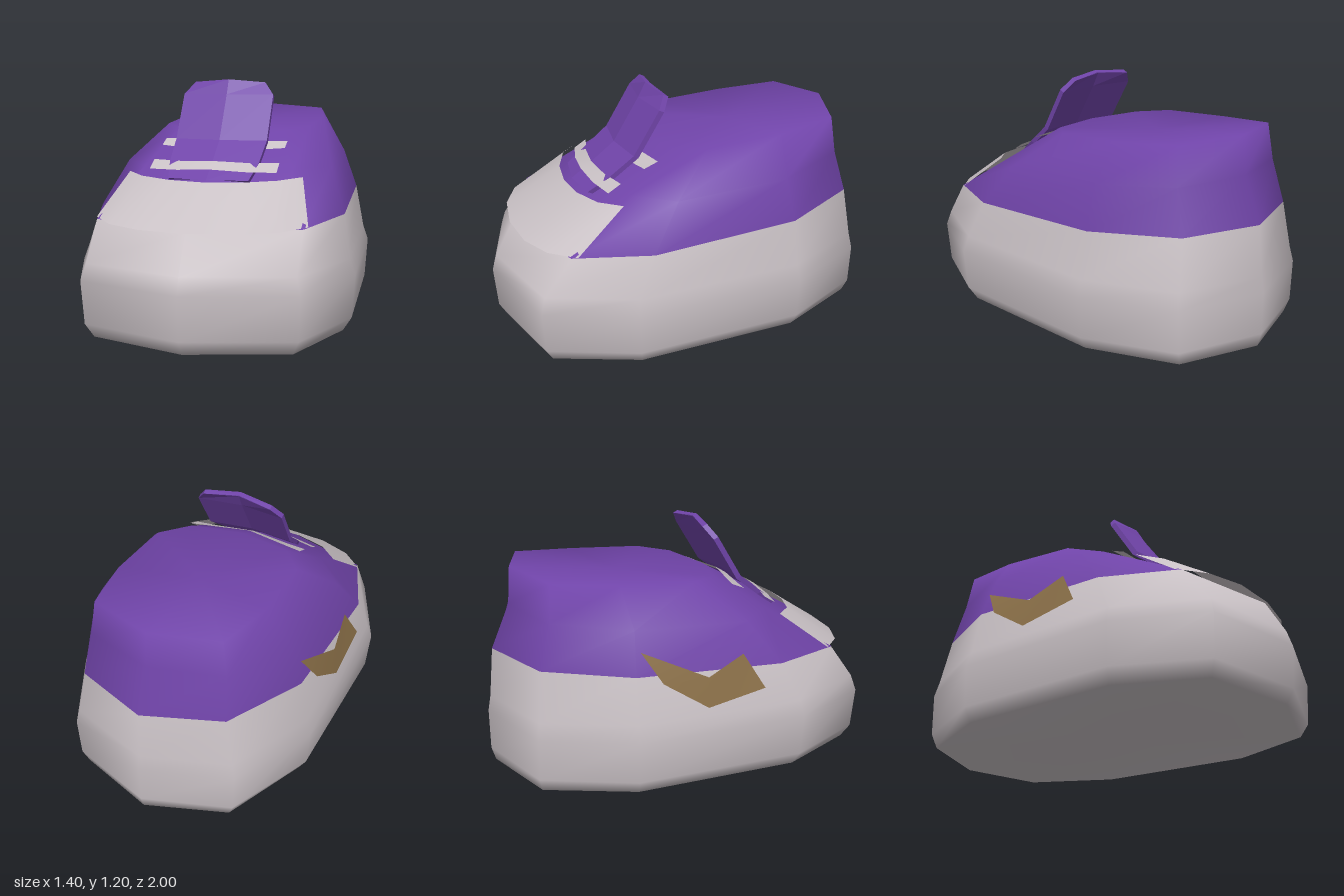
import * as THREE from 'three';

const purple = new THREE.MeshStandardMaterial({ color: 0x7044a9 });
purple.name = 'purple upper';
const grey = new THREE.MeshStandardMaterial({ color: 0xc9c1c5, side: THREE.DoubleSide });
grey.name = 'light grey rubber';
const brown = new THREE.MeshStandardMaterial({ color: 0x8b7048, side: THREE.DoubleSide });
brown.name = 'brown accent';

// Mirror half an outline (front centre to heel centre) into a full ring
function mirrorRing(half) {
  const back = half.slice(1, -1).reverse().map(([x, y, z]) => [-x, y, z]);
  return [...half, ...back];
}

// Closed loft through rings; `split` is the ring where the second material starts
function loft(rings, startCentre, endCentre, split = 0) {
  const n = rings[0].length;
  const positions = rings.flat();
  const start = positions.push(startCentre) - 1;
  const end = positions.push(endCentre) - 1;
  const index = [];
  for (let j = 0; j < n; j++) index.push(start, (j + 1) % n, j);
  let firstCount = index.length;
  for (let i = 0; i < rings.length - 1; i++) {
    for (let j = 0; j < n; j++) {
      const k = (j + 1) % n;
      const a = i * n + j, b = i * n + k;
      index.push(a, b, b + n, a, b + n, a + n);
    }
    if (i < split) firstCount = index.length;
  }
  const top = (rings.length - 1) * n;
  for (let j = 0; j < n; j++) index.push(top + j, top + (j + 1) % n, end);
  const geo = new THREE.BufferGeometry();
  geo.setAttribute('position', new THREE.Float32BufferAttribute(positions.flat(), 3));
  geo.setIndex(index);
  geo.computeVertexNormals();
  if (split) {
    geo.addGroup(0, firstCount, 0);
    geo.addGroup(firstCount, index.length - firstCount, 1);
  }
  return geo;
}

// Open sheet between a lower and an upper edge, both running the same way
function sheet(lower, upper) {
  const n = lower.length;
  const index = [];
  for (let i = 0; i < n - 1; i++) index.push(i, i + 1, n + i + 1, i, n + i + 1, n + i);
  const geo = new THREE.BufferGeometry();
  geo.setAttribute('position', new THREE.Float32BufferAttribute([...lower, ...upper].flat(), 3));
  geo.setIndex(index);
  geo.computeVertexNormals();
  return geo;
}

// Mirror an edge given from its centre outwards to +x
const mirrorEdge = (half) =>
  [...half.slice(1).reverse().map(([x, y, z]) => [-x, y, z]), ...half];

export function createModel() {
  const model = new THREE.Group();
  const add = (name, geo, mat) => {
    const mesh = new THREE.Mesh(geo, mat);
    mesh.name = name;
    model.add(mesh);
    return mesh;
  };

  // Sole: one outline, scaled at each height
  const outline = [[0, 1], [0.52, 0.86], [0.7, 0.43], [0.66, -0.43], [0.44, -0.86], [0, -1]];
  const soleRings = [[0, 0.92, 0.945, 0.98], [0.07, 0.98, 0.985, 1], [0.28, 1, 1, 1], [0.36, 0.96, 0.975, 0.985]]
    .map(([y, sx, front, back]) =>
      outline.map(([x, z]) => [x * sx, y, z * (z > 0 ? front : back)]));

  // Upper: seam, middle and collar
  const seam = [[0, 0.535, 0.88], [0.5, 0.545, 0.7], [0.63, 0.557, 0.33],
    [0.59, 0.587, -0.42], [0.38, 0.605, -0.82], [0, 0.61, -0.96]];
  const middle = [[0, 0.765, 0.47], [0.38, 0.765, 0.37], [0.54, 0.77, 0.18],
    [0.52, 0.79, -0.4], [0.355, 0.82, -0.76], [0, 0.83, -0.865]];
  const collar = [[0, 0.93, 0.18], [0.28, 0.935, 0.12], [0.39, 0.95, -0.03],
    [0.395, 0.975, -0.42], [0.33, 1.005, -0.74], [0, 1.02, -0.85]];
  const rings = [...soleRings, seam, middle, collar].map(mirrorRing);
  add('shoeBody', loft(rings, [0, 0, 0], [0, 0.95, -0.3], 4), [grey, purple]);

  // Toe cap
  add('toeCap', sheet(
    mirrorEdge([[0, 0.537, 0.892], [0.23, 0.538, 0.865], [0.4, 0.542, 0.79], [0.515, 0.55, 0.67]]),
    mirrorEdge([[0, 0.725, 0.6], [0.18, 0.728, 0.58], [0.34, 0.735, 0.52], [0.44, 0.742, 0.42]])), grey);

  // Lace straps
  add('lowerLace', sheet(
    mirrorEdge([[0, 0.775, 0.51], [0.17, 0.766, 0.495], [0.32, 0.763, 0.46]]),
    mirrorEdge([[0, 0.81, 0.455], [0.17, 0.803, 0.435], [0.32, 0.803, 0.395]])), grey);
  add('upperLace', sheet(
    mirrorEdge([[0, 0.858, 0.33], [0.2, 0.855, 0.3], [0.32, 0.863, 0.275]]),
    mirrorEdge([[0, 0.895, 0.27], [0.2, 0.892, 0.23], [0.32, 0.892, 0.205]])), grey);

  // Tongue: height, depth and half width of each row, bottom to top
  const rows = [[0.73, 0.53, 0.2], [0.8, 0.43, 0.225], [0.9, 0.3, 0.235],
    [1.12, 0.165, 0.235], [1.18, 0.125, 0.185]];
  const tongueRings = rows.map(([y, z, w], i) => {
    const lift = i === rows.length - 1 ? 0.015 : 0;
    const front = [[-w, y, z], [0, y + lift, z + 0.03], [w, y, z]];
    return [...front, ...front.map(([x, py, pz]) => [x, py - 0.012, pz - 0.025]).reverse()];
  });
  add('tongue', loft(tongueRings, [0, 0.73, 0.53], [0, 1.188, 0.13]).toNonIndexed(), purple)
    .geometry.computeVertexNormals();

  // Bent accent patch on the right side only
  add('sideAccent', sheet(
    [[-0.628, 0.55, -0.3], [-0.662, 0.405, -0.08], [-0.668, 0.46, 0.22]],
    [[-0.57, 0.7, -0.39], [-0.636, 0.55, -0.07], [-0.618, 0.635, 0.12]]), brown);

  return model;
}
